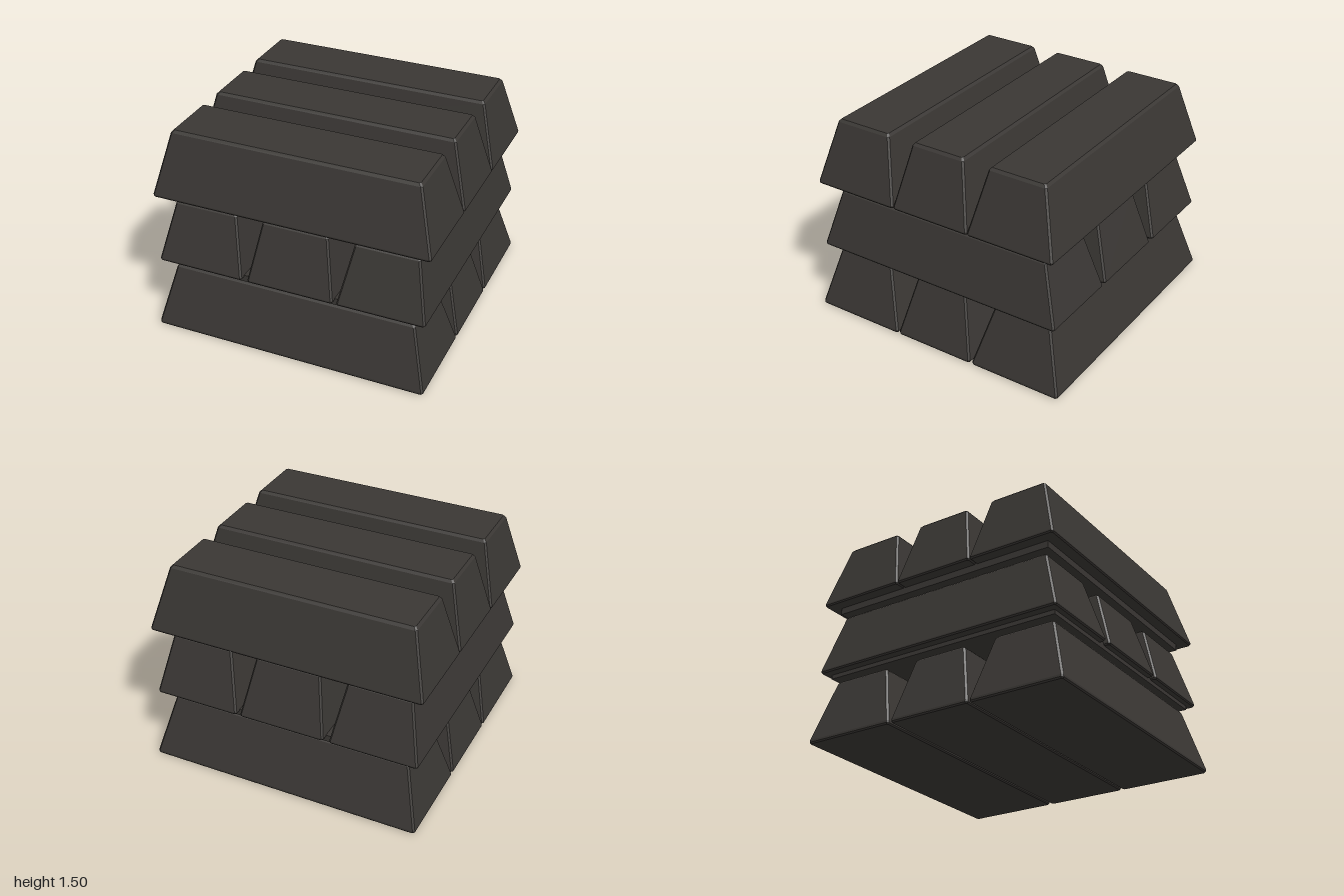
import * as THREE from 'three';

const material = new THREE.MeshStandardMaterial({ color: 0x3a3734, flatShading: true });

// Rectangle outline with clipped corners, counter-clockwise from above
function ring([x0, x1, z0, z1], y, c) {
  return [
    [x1 - c, y, z1], [x1, y, z1 - c], [x1, y, z0 + c], [x1 - c, y, z0],
    [x0 + c, y, z0], [x0, y, z0 + c], [x0, y, z1 - c], [x0 + c, y, z1],
  ];
}

const inset = ([x0, x1, z0, z1], d) => [x0 + d, x1 - d, z0 + d, z1 - d];
const mix = (a, b, t) => a.map((v, i) => v + (b[i] - v) * t);

// Tapered bar with softened edges, lofted between a base and a top rectangle
function barGeometry(base, top, y0, y1, lip) {
  const t = 1 - 0.02 / (y1 - y0 - lip);
  const rings = [
    ring(inset(base, 0.008), y0, 0.01),
    ring(base, y0 + 0.01, 0.012),
    ring(base, y0 + lip, 0.012),
    ring(mix(base, top, t), y1 - 0.018, 0.012),
    ring(inset(top, 0.012), y1, 0.01),
  ];
  const n = 8, index = [];
  for (let r = 0; r < rings.length - 1; r++) {
    for (let i = 0; i < n; i++) {
      const a = r * n + i, b = r * n + (i + 1) % n;
      index.push(a, b, b + n, a, b + n, a + n);
    }
  }
  const last = (rings.length - 1) * n;
  for (let i = 1; i < n - 1; i++) {
    index.push(0, i + 1, i);
    index.push(last, last + i, last + i + 1);
  }
  const g = new THREE.BufferGeometry();
  g.setAttribute('position', new THREE.Float32BufferAttribute(rings.flat(2), 3));
  g.setIndex(index);
  const flat = g.toNonIndexed();
  flat.computeVertexNormals();
  return flat;
}

// Each bar: base min, base max, top min, top max across the layer
const layers = [
  {
    name: 'bottom', along: 'x', y: [0, 0.465], lip: 0.025, length: [-1, 1, -0.89, 0.885],
    bars: [[-1, -0.32, -0.87, -0.44], [-0.3, 0.305, -0.195, 0.2], [0.32, 1, 0.44, 0.88]],
  },
  {
    name: 'middle', along: 'z', y: [0.515, 0.957], lip: 0.02, length: [-0.955, 0.95, -0.83, 0.83],
    bars: [[-0.985, -0.35, -0.89, -0.43], [-0.305, 0.325, -0.23, 0.245], [0.355, 0.98, 0.44, 0.89]],
  },
  {
    name: 'top', along: 'x', y: [1.025, 1.5], lip: 0.02, length: [-1, 1, -0.89, 0.88],
    bars: [[-0.945, -0.3, -0.82, -0.4], [-0.298, 0.298, -0.2, 0.2], [0.302, 0.945, 0.4, 0.825]],
  },
];

// Thin spacer boards: name, width, depth, bottom, top
const boards = [
  ['lowerSpacer', 1.84, 1.81, 0.485, 0.535],
  ['upperSpacer', 1.83, 1.72, 0.977, 1.035],
];

export function createModel() {
  const model = new THREE.Group();
  model.name = 'barStack';

  // Three crossed layers of bars
  for (const { name, along, y, lip, length: l, bars } of layers) {
    const layer = new THREE.Group();
    layer.name = `${name}Layer`;
    bars.forEach(([b0, b1, t0, t1], i) => {
      const base = along === 'x' ? [l[0], l[1], b0, b1] : [b0, b1, l[0], l[1]];
      const top = along === 'x' ? [l[2], l[3], t0, t1] : [t0, t1, l[2], l[3]];
      const bar = new THREE.Mesh(barGeometry(base, top, y[0], y[1], lip), material);
      bar.name = `${name}Bar${i + 1}`;
      layer.add(bar);
    });
    model.add(layer);
  }

  // Spacers between the layers
  for (const [name, w, d, y0, y1] of boards) {
    const board = new THREE.Mesh(new THREE.BoxGeometry(w, y1 - y0, d), material);
    board.name = name;
    board.position.y = (y0 + y1) / 2;
    model.add(board);
  }
  return model;
}
